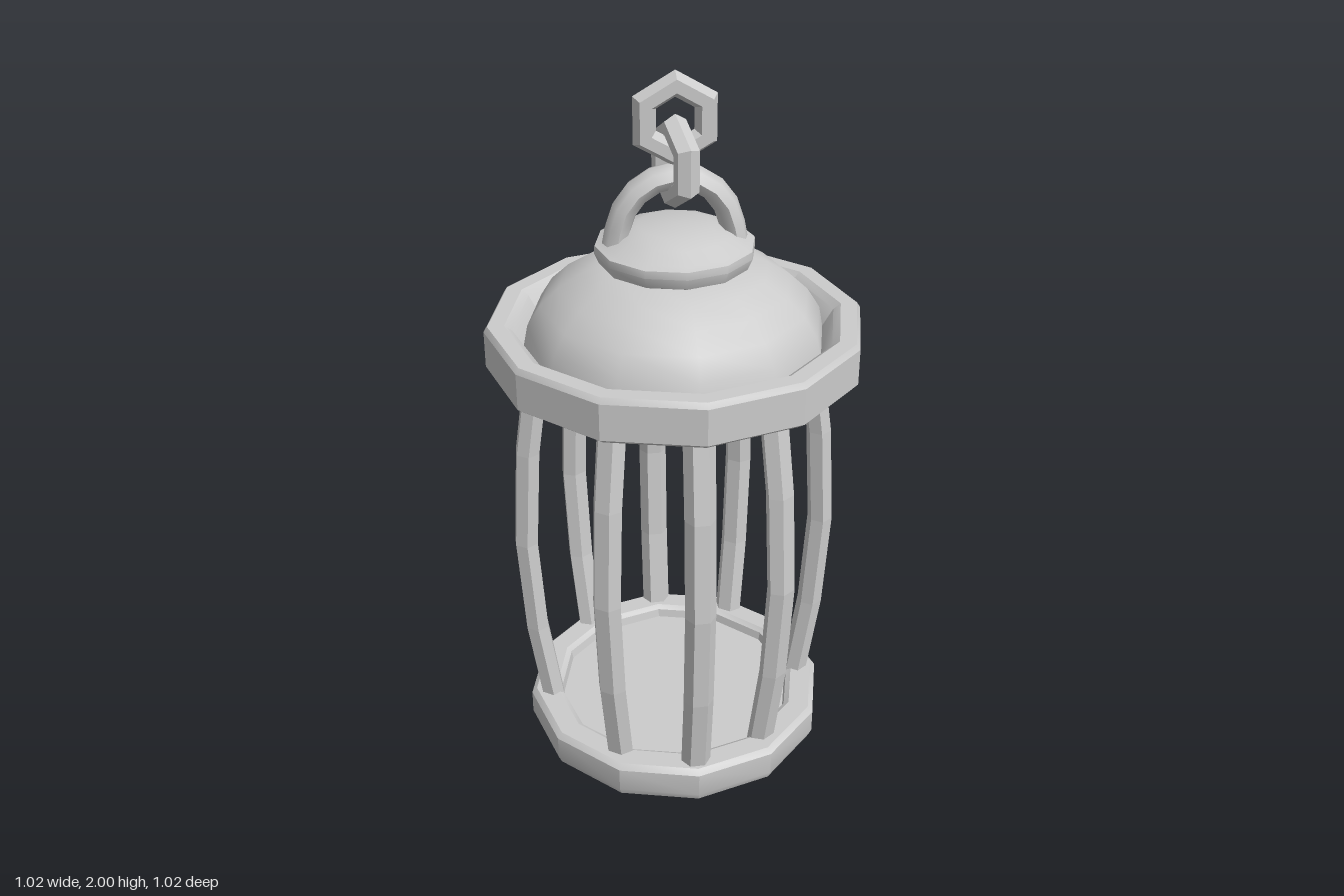
import * as THREE from 'three';
import { toCreasedNormals } from 'three/addons/utils/BufferGeometryUtils.js';

const SIDES = 12;
const smooth = new THREE.MeshStandardMaterial({ color: 0xcccccc });
const flat = new THREE.MeshStandardMaterial({ color: 0xcccccc, flatShading: true });

// Turned part from [radius, height] pairs, listed from the bottom up
function turned(name, profile, crease) {
  const points = profile.map(([r, y]) => new THREE.Vector2(r, y));
  let geometry = new THREE.LatheGeometry(points, SIDES);
  if (crease) geometry = toCreasedNormals(geometry, crease);
  const mesh = new THREE.Mesh(geometry, smooth);
  mesh.name = name;
  return mesh;
}

// Hexagonal bar that bows outward (+z) around the middle of its height
function barGeometry() {
  const bottom = 0.07, top = 1.25;
  const geometry = new THREE.CylinderGeometry(0.042, 0.042, top - bottom, 6, 4);
  geometry.rotateY(Math.PI / 6);
  geometry.translate(0, (top + bottom) / 2, 0);
  const p = geometry.attributes.position;
  for (let i = 0; i < p.count; i++) {
    const t = (p.getY(i) - bottom) / (top - bottom);
    p.setZ(i, p.getZ(i) * 0.85 + 0.06 * Math.sin(Math.PI * t));
  }
  geometry.computeVertexNormals();
  return geometry;
}

// Six-sided chain link standing on a corner
function chainLink(name, y, turn) {
  const geometry = new THREE.TorusGeometry(0.09, 0.034, 6, 6);
  geometry.rotateZ(Math.PI / 6);
  const mesh = new THREE.Mesh(geometry, flat);
  mesh.name = name;
  mesh.position.y = y;
  mesh.rotation.y = turn;
  return mesh;
}

export function createModel() {
  const model = new THREE.Group();
  model.name = 'lantern';

  // Base tray with a raised rim
  model.add(turned('base', [
    [0, 0], [0.41, 0], [0.43, 0.012], [0.44, 0.035], [0.44, 0.105], [0.425, 0.12],
    [0.365, 0.12], [0.35, 0.11], [0.345, 0.085], [0, 0.085],
  ], 0.45));

  // Roof rim, closed underneath, with a gutter around the dome
  model.add(turned('roofRim', [
    [0, 1.21], [0.49, 1.21], [0.51, 1.225], [0.51, 1.325], [0.5, 1.34],
    [0.455, 1.34], [0.435, 1.325], [0.405, 1.275], [0, 1.275],
  ], 0.45));

  // Dome
  model.add(turned('dome', [
    [0.408, 1.27], [0.395, 1.335], [0.36, 1.39], [0.31, 1.437], [0.25, 1.475], [0.18, 1.505], [0, 1.52],
  ]));

  // Cap on the dome
  model.add(turned('cap', [
    [0.18, 1.49], [0.2, 1.5], [0.213, 1.53], [0.211, 1.55], [0.19, 1.557],
    [0.15, 1.58], [0.1, 1.597], [0, 1.6],
  ], 0.6));

  // Cage bars: [angle from the front, radius at the foot]
  const bars = new THREE.Group();
  bars.name = 'bars';
  const geometry = barGeometry();
  const side = THREE.MathUtils.degToRad(35);
  const layout = [
    [0, 0.375], [side, 0.355], [-side, 0.355], [Math.PI / 2, 0.37], [-Math.PI / 2, 0.37],
    [Math.PI - side, 0.39], [Math.PI + side, 0.39], [Math.PI, 0.4],
  ];
  for (const [angle, radius] of layout) {
    const bar = new THREE.Mesh(geometry, flat);
    bar.name = 'bar';
    bar.position.set(Math.sin(angle) * radius, 0, Math.cos(angle) * radius);
    bar.rotation.y = angle;
    bars.add(bar);
  }
  model.add(bars);

  // Arched handle on the cap
  const arch = new THREE.CatmullRomCurve3([
    [-0.16, 1.54], [-0.135, 1.64], [-0.08, 1.705], [0, 1.73],
    [0.08, 1.705], [0.135, 1.64], [0.16, 1.54],
  ].map(([x, y]) => new THREE.Vector3(x, y, 0)));
  const handleGeometry = new THREE.TubeGeometry(arch, 10, 0.034, 8, false);
  handleGeometry.scale(1, 1, 1.35);
  const handle = new THREE.Mesh(toCreasedNormals(handleGeometry, 0.9), smooth);
  handle.name = 'handle';
  model.add(handle);

  // Chain
  model.add(chainLink('lowerLink', 1.765, -1.35));
  model.add(chainLink('upperLink', 1.876, 0));

  return model;
}
